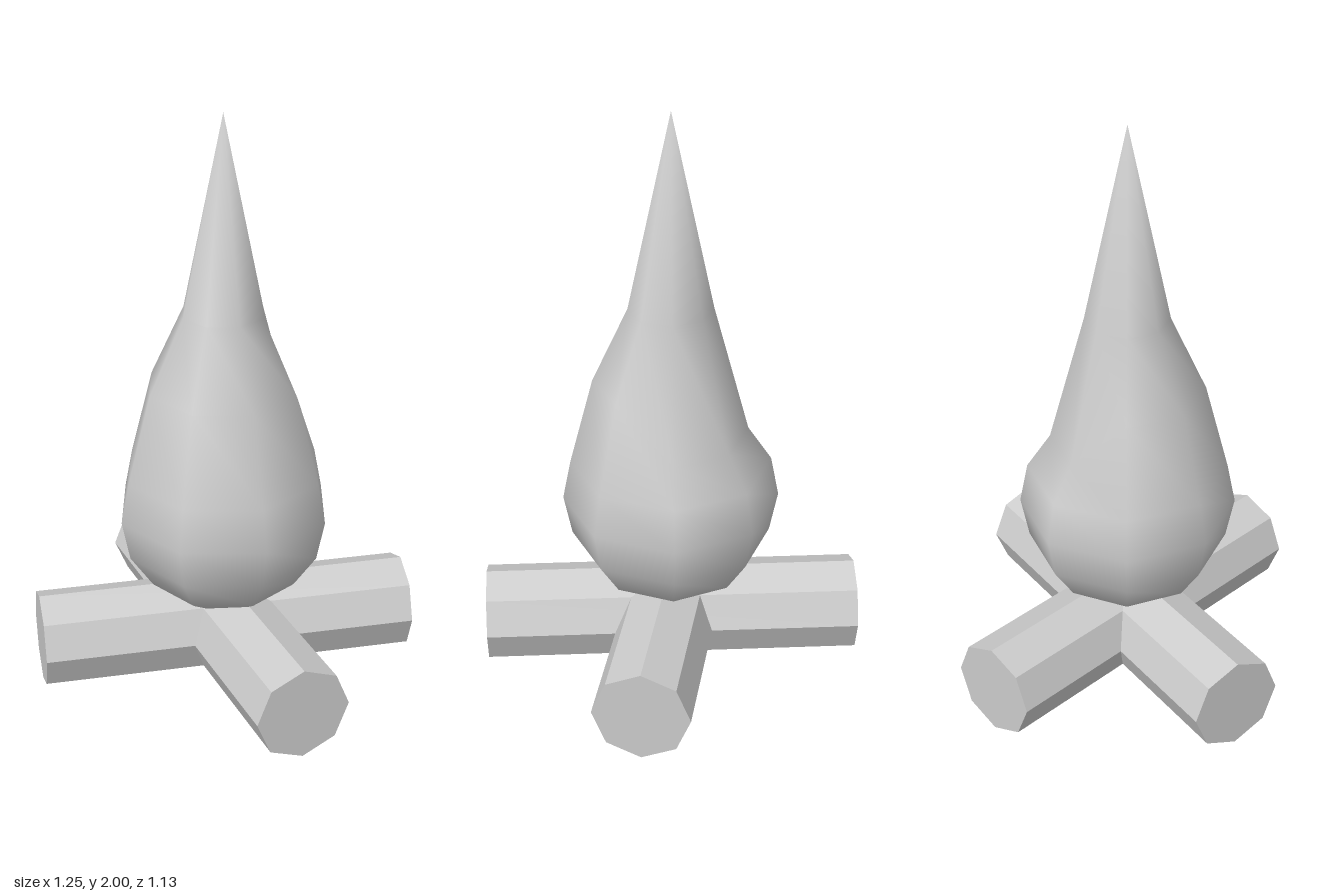
import * as THREE from 'three';
import { mergeVertices } from 'three/addons/utils/BufferGeometryUtils.js';

const LOG_RADIUS = 0.165;
const LOG_LENGTH = 1.293;
const FLAME_RADIUS = 0.37;
const FLAME_CENTRE = 0.62;

// Octagonal log lying on the ground with one edge on top
function createLog(name, degrees) {
  const geometry = new THREE.CylinderGeometry(LOG_RADIUS, LOG_RADIUS, LOG_LENGTH, 8);
  geometry.rotateZ(Math.PI / 2);
  const log = new THREE.Mesh(
    geometry,
    new THREE.MeshStandardMaterial({ color: 0xcccccc, flatShading: true })
  );
  log.name = name;
  log.position.y = LOG_RADIUS;
  log.rotation.y = THREE.MathUtils.degToRad(degrees);
  return log;
}

// Low-poly sphere whose upper rings are pulled up into a teardrop
function createFlame() {
  const sphere = new THREE.SphereGeometry(FLAME_RADIUS, 8, 8);
  sphere.deleteAttribute('uv');
  sphere.deleteAttribute('normal');
  const geometry = mergeVertices(sphere, 1e-4);
  const p = geometry.attributes.position;
  for (let i = 0; i < p.count; i++) {
    const level = p.getY(i) / FLAME_RADIUS;
    let y = FLAME_CENTRE + p.getY(i);
    if (level > 0.97) y = 2; // tip
    else if (level > 0.85) y = 1.33; // neck
    else if (level > 0.6 && p.getZ(i) > -0.05) y = 1.07; // shoulder, left low at the back
    p.setY(i, y);
  }
  geometry.computeVertexNormals();
  const flame = new THREE.Mesh(geometry, new THREE.MeshStandardMaterial({ color: 0xcccccc }));
  flame.name = 'flame';
  return flame;
}

export function createModel() {
  const model = new THREE.Group();
  model.name = 'campfire';
  model.add(createLog('firstLog', -43.8), createLog('secondLog', 34.4), createFlame());
  return model;
}
